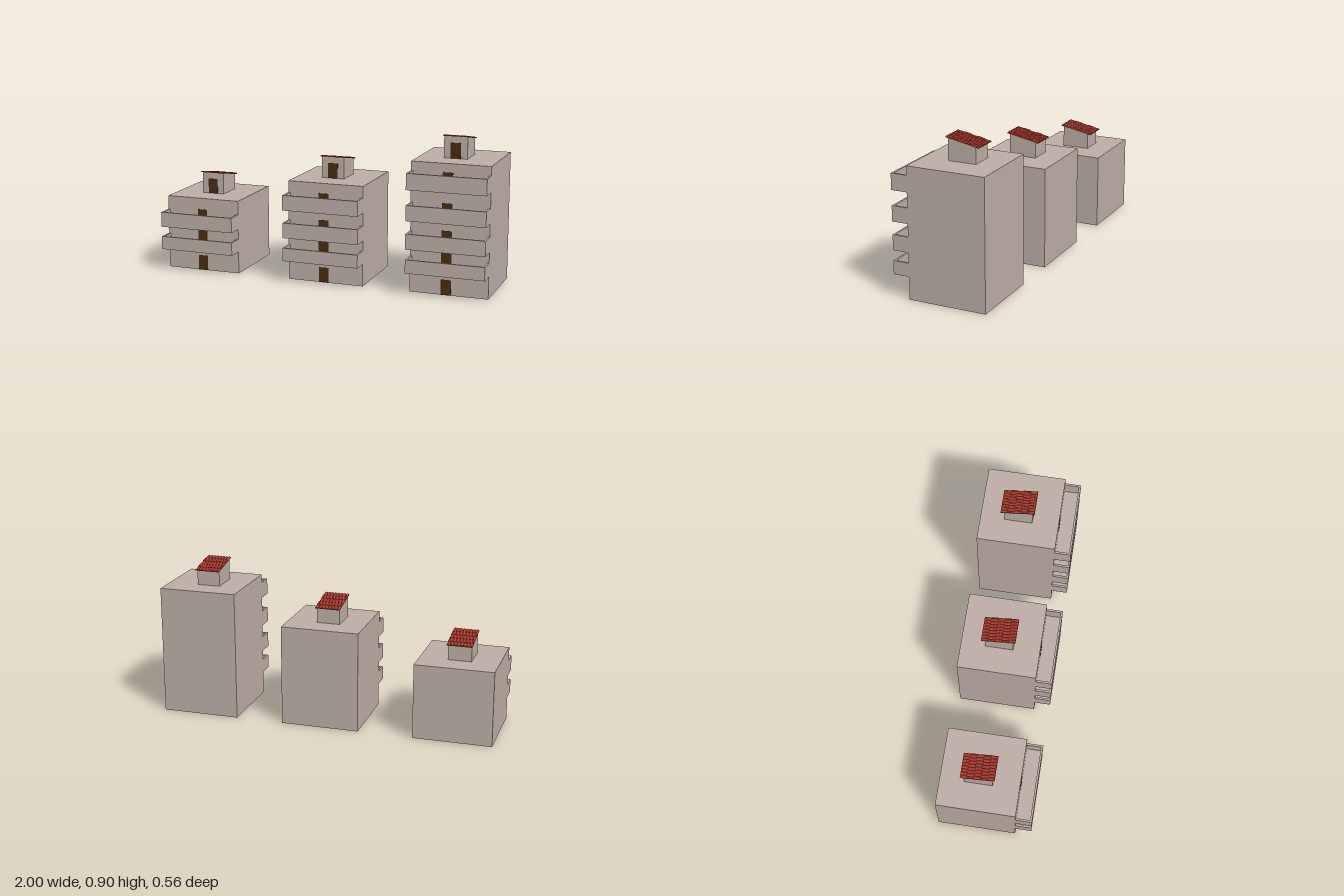
import * as THREE from 'three';

const wallMat = new THREE.MeshStandardMaterial({ name: 'wall plaster', color: 0xbcaca4 });
const doorMat = new THREE.MeshStandardMaterial({ name: 'dark wood', color: 0x462c10 });
const roofMat = new THREE.MeshStandardMaterial({ name: 'red tile', color: 0xa83a2f });

const WIDTH = 0.463, BACK = -0.28, FACE = 0.184, FRONT = 0.28;
const DOOR_W = 0.06, DOOR_H = 0.09;

// Box given by its min and max corners
function box(parent, name, mat, [x0, y0, z0], [x1, y1, z1]) {
  const mesh = new THREE.Mesh(new THREE.BoxGeometry(x1 - x0, y1 - y0, z1 - z0), mat);
  mesh.position.set((x0 + x1) / 2, (y0 + y1) / 2, (z0 + z1) / 2);
  mesh.name = name;
  parent.add(mesh);
  return mesh;
}

function door(parent, name, x, y, z) {
  box(parent, name, doorMat, [x - DOOR_W / 2, y, z - 0.002], [x + DOOR_W / 2, y + DOOR_H, z + 0.002]);
}

// Tray-shaped balcony: floor, front parapet and two end parapets
function balcony(y0, y1) {
  const g = new THREE.Group();
  g.name = 'balcony';
  const h = WIDTH / 2, t = 0.012, f = y0 + 0.012;
  box(g, 'balconyFloor', wallMat, [-h, y0, FACE], [h, f, FRONT]);
  box(g, 'frontParapet', wallMat, [-h, f, FRONT - t], [h, y1, FRONT]);
  for (const s of [-1, 1]) {
    const a = s * h, b = s * (h - t);
    box(g, 'endParapet', wallMat, [Math.min(a, b), f, FACE], [Math.max(a, b), y1, FRONT - t]);
  }
  return g;
}

// Scalloped tile courses, staggered from row to row on a sloping plane
function tiledRoof() {
  const g = new THREE.Group();
  g.name = 'tiledRoof';
  const w = 0.148, length = 0.203, rows = 5, tiles = 8, steps = 48;
  for (let r = 0; r < rows; r++) {
    const shape = new THREE.Shape();
    shape.moveTo(-w / 2, 0);
    shape.lineTo(w / 2, 0);
    for (let i = steps; i >= 0; i--) {
      const u = i / steps;
      const bump = Math.abs(Math.sin(Math.PI * (u * tiles + (r % 2) * 0.33)));
      shape.lineTo((u - 0.5) * w, 0.003 + 0.005 * bump);
    }
    const geo = new THREE.ExtrudeGeometry(shape, { depth: length / rows, bevelEnabled: false });
    const row = new THREE.Mesh(geo, roofMat);
    row.name = 'tileRow';
    row.position.z = -length / 2 + r * length / rows;
    g.add(row);
  }
  g.rotation.x = -Math.atan(0.195);
  g.position.set(0, 0.11, -0.058);
  return g;
}

// Small stair house with a slanted top, standing on the flat roof
function stairHouse() {
  const g = new THREE.Group();
  g.name = 'stairHouse';
  const w = 0.138, z0 = -0.138, z1 = 0.028;
  // Side outline, drawn with shape x = -z, then swept across the width
  const side = new THREE.Shape([
    new THREE.Vector2(-z1, 0), new THREE.Vector2(-z0, 0),
    new THREE.Vector2(-z0, 0.095), new THREE.Vector2(-z1, 0.127),
  ]);
  const geo = new THREE.ExtrudeGeometry(side, { depth: w, bevelEnabled: false });
  geo.translate(0, 0, -w / 2).rotateY(Math.PI / 2);
  const walls = new THREE.Mesh(geo, wallMat);
  walls.name = 'stairHouseWalls';
  g.add(walls, tiledRoof());
  door(g, 'roofDoor', 0, 0, z1);
  return g;
}

function building(x, height, doorX, levels) {
  const g = new THREE.Group();
  g.name = 'apartmentBlock';
  box(g, 'blockBody', wallMat, [-WIDTH / 2, 0, BACK], [WIDTH / 2, height, FACE]);
  door(g, 'entranceDoor', doorX, 0, FACE);
  for (const [y0, y1, doorTop] of levels) {
    g.add(balcony(y0, y1));
    door(g, 'balconyDoor', doorX, doorTop - DOOR_H, FACE);
  }
  const house = stairHouse();
  house.position.set(doorX, height, 0);
  g.add(house);
  g.position.x = x;
  return g;
}

export function createModel() {
  const model = new THREE.Group();
  model.name = 'apartmentBlocks';
  // Balcony bottom, balcony top and door top for each storey
  const levels = [
    [0.133, 0.212, 0.25],
    [0.272, 0.362, 0.376],
    [0.437, 0.527, 0.535],
    [0.615, 0.71, 0.712],
  ];
  model.add(
    building(-0.7685, 0.445, -0.003, levels.slice(0, 2)),
    building(0.021, 0.595, -0.011, levels.slice(0, 3)),
    building(0.7685, 0.763, -0.016, levels),
  );
  return model;
}
